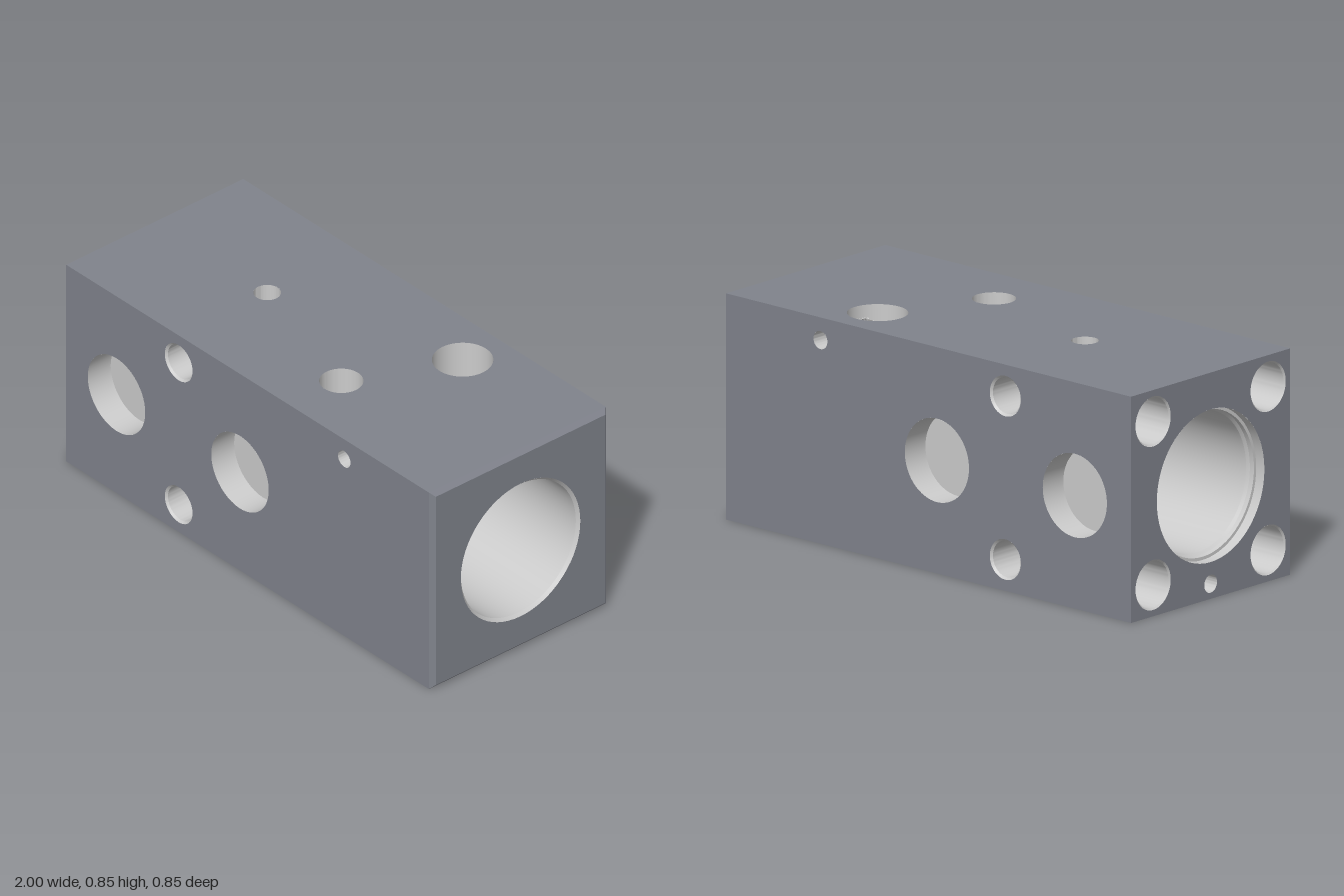
import * as THREE from 'three';
import { toCreasedNormals } from 'three/addons/utils/BufferGeometryUtils.js';

const H = 0.425, BEVEL = 0.018, SEG = 64;
const CENTRE = new THREE.Vector3(0, H, 0);
const V = (x, y, z) => new THREE.Vector3(x, y, z);

// each face: in-plane axes u and v, outward normal n, distance from centre, u range, v half size
const faces = {
  front:  { u: V(1, 0, 0), v: V(0, 1, 0), n: V(0, 0, 1), d: H, u0: -1, u1: 1 - BEVEL, h: H },
  back:   { u: V(-1, 0, 0), v: V(0, 1, 0), n: V(0, 0, -1), d: H, u0: BEVEL - 1, u1: 1, h: H },
  top:    { u: V(1, 0, 0), v: V(0, 0, -1), n: V(0, 1, 0), d: H, u0: -1, u1: 1 - BEVEL, h: H },
  bottom: { u: V(1, 0, 0), v: V(0, 0, 1), n: V(0, -1, 0), d: H, u0: -1, u1: 1 - BEVEL, h: H },
  left:   { u: V(0, 0, -1), v: V(0, 1, 0), n: V(1, 0, 0), d: 1, u0: BEVEL - H, u1: H - BEVEL, h: H - BEVEL },
  right:  { u: V(0, 0, 1), v: V(0, 1, 0), n: V(-1, 0, 0), d: 1, u0: -H, u1: H, h: H },
};

// profile: [radius, depth] pairs; exit names the face a through hole leaves by
const bores = [];
const drill = (name, face, x, y, z, profile, exit) =>
  bores.push({ name, face, at: V(x, y, z).sub(CENTRE), profile, exit });
const blind = (r, depth, c = 0) => [[r, 0], [r - c, c], [r - c, depth], [0, depth]];

// stepped main bore with a narrower divider in the middle
drill('mainBore', 'left', 0, H, 0, [
  [0.287, 0], [0.276, 0.012], [0.276, 0.88], [0.18, 0.88], [0.174, 0.886], [0.174, 1.08],
  [0.266, 1.08], [0.266, 1.93], [0.275, 1.94], [0.275, 1.96], [0.287, 1.96], [0.287, 2],
], 'right');

// matching pockets and bolt holes on front and back
for (const face of ['front', 'back']) {
  for (const x of [-0.725, -0.05]) drill('sidePocket', face, x, H, 0, blind(0.157, 0.11));
  for (const y of [0.118, 0.732]) drill('sideBoltHole', face, -0.385, y, 0, blind(0.076, 0.2, 0.008));
}
drill('crossHole', 'front', 0.52, 0.765, 0, [[0.034, 0], [0.034, 0.85]], 'back');

// vertical passage and stepped ports opening into the main bore
drill('verticalPassage', 'top', 0.41, 0, -0.24, [[0.111, 0], [0.111, 0.85]], 'bottom');
drill('smallPort', 'top', -0.385, 0, 0, [[0.05, 0], [0.05, 0.09], [0.027, 0.09], [0.027, 0.25]]);
drill('largePort', 'top', 0.225, 0, 0.18, [[0.08, 0], [0.08, 0.13], [0.037, 0.13], [0.037, 0.32]]);

// corner bolt holes and pin hole on the right end
for (const y of [0.118, 0.732]) {
  for (const z of [-0.307, 0.307]) drill('cornerBoltHole', 'right', 0, y, z, blind(0.094, 0.3, 0.006));
}
drill('pinHole', 'right', 0, 0.057, 0, blind(0.034, 0.12));

function radiusAt(profile, depth) {
  for (let i = 1; i < profile.length; i++) {
    const [r0, d0] = profile[i - 1], [r1, d1] = profile[i];
    if (d1 > d0 && depth >= d0 && depth <= d1) return r0 + (r1 - r0) * (depth - d0) / (d1 - d0);
  }
  return 0;
}

function isInside(bore, p) {
  const f = faces[bore.face];
  const q = p.clone().sub(bore.at);
  const radial = Math.hypot(q.dot(f.u), q.dot(f.v));
  return radial < radiusAt(bore.profile, f.d - p.dot(f.n)) - 0.0005;
}

// flat face with round openings
function panelGeometry(key) {
  const f = faces[key];
  const shape = new THREE.Shape([[f.u0, -f.h], [f.u1, -f.h], [f.u1, f.h], [f.u0, f.h]]
    .map(([x, y]) => new THREE.Vector2(x, y)));
  for (const b of bores) {
    if (b.face !== key && b.exit !== key) continue;
    const r = b.face === key ? b.profile[0][0] : b.profile[b.profile.length - 1][0];
    const hole = new THREE.Path();
    hole.absarc(b.at.dot(f.u), b.at.dot(f.v), r, 0, Math.PI * 2, true);
    shape.holes.push(hole);
  }
  return new THREE.ShapeGeometry(shape, SEG)
    .applyMatrix4(new THREE.Matrix4().makeBasis(f.u, f.v, f.n).setPosition(f.n.clone().multiplyScalar(f.d)));
}

// turned wall of a bore, left open where other bores cross it
function boreGeometry(bore) {
  const f = faces[bore.face], pts = [];
  bore.profile.forEach(([r, d], i) => {
    if (i) {
      const [r0, d0] = bore.profile[i - 1];
      const n = Math.ceil(Math.hypot(r - r0, d - d0) / 0.015);
      for (let k = 1; k < n; k++) pts.push(new THREE.Vector2(r0 + (r - r0) * k / n, -(d0 + (d - d0) * k / n)));
    }
    pts.push(new THREE.Vector2(r, -d));
  });
  const w = f.u.clone().cross(f.n);
  const origin = f.u.clone().multiplyScalar(bore.at.dot(f.u))
    .addScaledVector(f.v, bore.at.dot(f.v)).addScaledVector(f.n, f.d);
  const geo = new THREE.LatheGeometry(pts, SEG)
    .applyMatrix4(new THREE.Matrix4().makeBasis(f.u, f.n, w).setPosition(origin));
  const pos = geo.attributes.position, idx = geo.index.array, keep = [];
  const others = bores.filter((b) => b !== bore);
  const corner = new THREE.Vector3(), mid = new THREE.Vector3();
  for (let i = 0; i < idx.length; i += 3) {
    mid.set(0, 0, 0);
    for (let k = 0; k < 3; k++) mid.add(corner.fromBufferAttribute(pos, idx[i + k]));
    mid.divideScalar(3);
    if (!others.some((b) => isInside(b, mid))) keep.push(idx[i], idx[i + 1], idx[i + 2]);
  }
  geo.setIndex(keep);
  return toCreasedNormals(geo, 0.4);
}

export function createModel() {
  const model = new THREE.Group();
  model.name = 'manifoldBlock';
  const bodyMat = new THREE.MeshStandardMaterial({ color: 0x80838c });
  const boreMat = new THREE.MeshStandardMaterial({ color: 0xcccccc, side: THREE.DoubleSide });
  const add = (name, geo, mat) => {
    const mesh = new THREE.Mesh(geo, mat);
    mesh.name = name;
    mesh.position.copy(CENTRE);
    model.add(mesh);
  };

  for (const key of Object.keys(faces)) add(key + 'Face', panelGeometry(key), bodyMat);
  for (const bore of bores) add(bore.name, boreGeometry(bore), boreMat);

  // bevel around the left end
  const bevel = new THREE.CylinderGeometry((H - BEVEL) * Math.SQRT2, H * Math.SQRT2, BEVEL, 4, 1, true)
    .rotateY(Math.PI / 4).rotateZ(-Math.PI / 2).translate(1 - BEVEL / 2, 0, 0);
  add('endBevel', toCreasedNormals(bevel, 0.4), bodyMat);
  return model;
}
